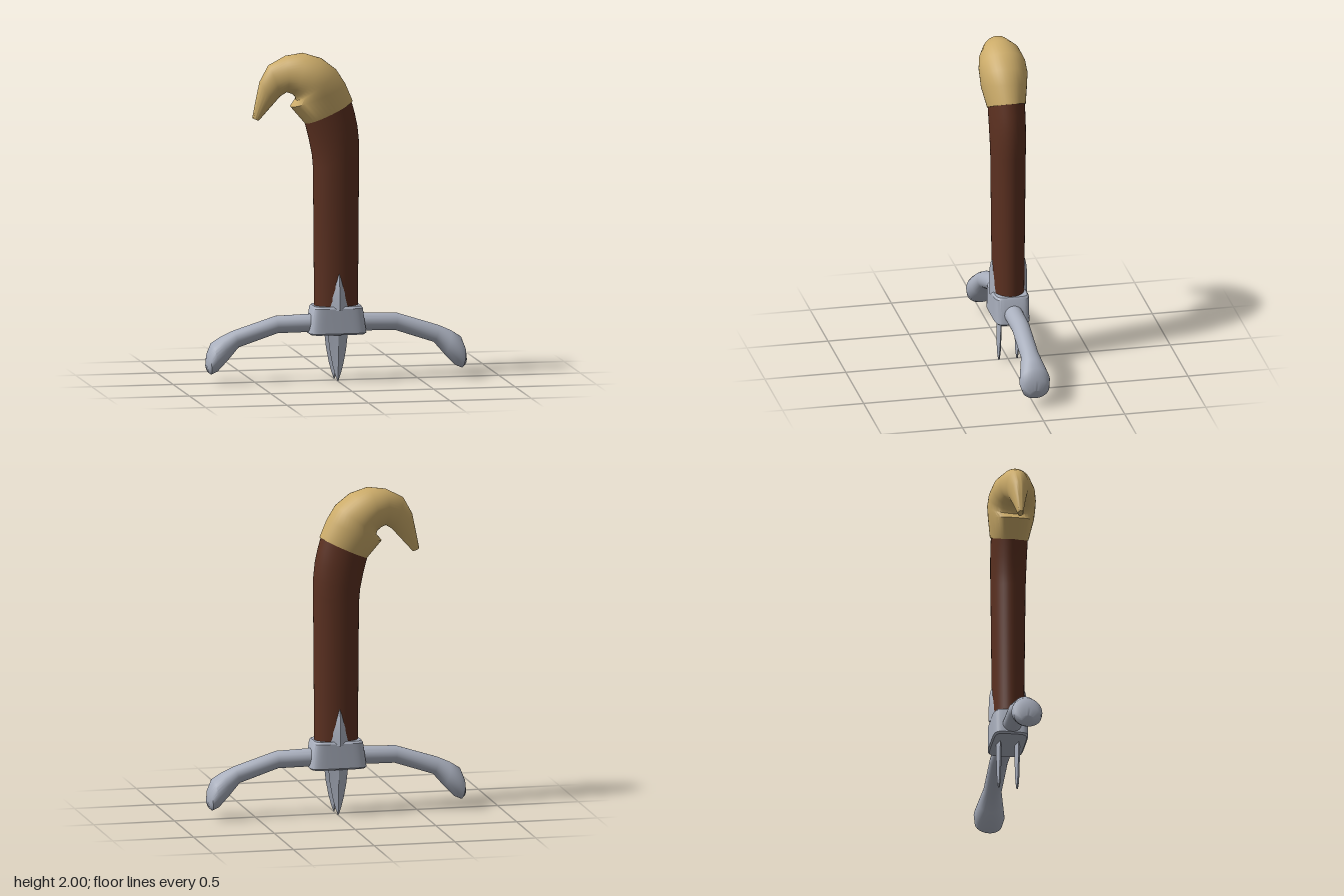
import * as THREE from 'three';
import { toCreasedNormals } from 'three/addons/utils/BufferGeometryUtils.js';

// Skin a row of sections [innerX, innerY, outerX, outerY, halfDepth], capped at both ends.
// power below 1 squares off the rings; zOff shifts the whole row in depth.
function loft(sections, { sides = 32, power = 1, zOff = 0, crease = 0.7 } = {}) {
  const pos = [], idx = [];
  const bend = (v) => Math.sign(v) * Math.pow(Math.abs(v), power);
  for (const [ax, ay, bx, by, d] of sections) {
    for (let j = 0; j < sides; j++) {
      const t = (j / sides) * Math.PI * 2;
      const c = bend(Math.abs(Math.cos(t)) < 1e-9 ? 0 : Math.cos(t));
      const s = bend(Math.abs(Math.sin(t)) < 1e-9 ? 0 : Math.sin(t));
      pos.push((ax + bx) / 2 + (c * (bx - ax)) / 2, (ay + by) / 2 + (c * (by - ay)) / 2, zOff + s * d);
    }
  }
  // Does the row advance along the ring normal (u x z)?
  const [p, q] = sections;
  const adv = [q[0] + q[2] - p[0] - p[2], q[1] + q[3] - p[1] - p[3]];
  const flip = adv[0] * (p[3] - p[1]) - adv[1] * (p[2] - p[0]) < 0;
  const tri = (a, b, c) => (flip ? idx.push(a, c, b) : idx.push(a, b, c));
  const last = (sections.length - 1) * sides;
  for (let r = 0; r < last; r += sides) {
    for (let j = 0; j < sides; j++) {
      const k = (j + 1) % sides;
      tri(r + j, r + k, r + sides + k);
      tri(r + j, r + sides + k, r + sides + j);
    }
  }
  for (let j = 1; j < sides - 1; j++) {
    tri(0, j + 1, j);
    tri(last, last + j, last + j + 1);
  }
  const geo = new THREE.BufferGeometry();
  geo.setAttribute('position', new THREE.Float32BufferAttribute(pos, 3));
  geo.setIndex(idx);
  return toCreasedNormals(geo, crease);
}

// Section lying level at height y
const level = (y, w, d) => [-w, y, w, y, d];

export function createModel() {
  const group = new THREE.Group();
  const material = (name, color) => Object.assign(new THREE.MeshStandardMaterial({ color }), { name });
  const brass = material('brass', 0xcbab69);
  const wood = material('brown grip', 0x5b3020);
  const steel = material('steel', 0xa9afbd);
  const add = (name, geo, mat) => {
    const mesh = new THREE.Mesh(geo, mat);
    mesh.name = name;
    group.add(mesh);
    return mesh;
  };

  // Oval grip, bending over at the top
  add('grip', loft([
    level(0.4, 0.133, 0.095),
    [-0.14, 1.3, 0.14, 1.36, 0.105],
    [-0.147, 1.38, 0.14, 1.45, 0.107],
    [-0.165, 1.47, 0.13, 1.55, 0.109],
    [-0.185, 1.55, 0.113, 1.63, 0.11],
    [-0.2, 1.6, 0.085, 1.73, 0.11],
  ], { sides: 40 }), wood);

  // Hooked beak pommel
  add('pommel', loft([
    [-0.19, 1.57, 0.1, 1.705, 0.115],
    [-0.28, 1.675, 0.055, 1.81, 0.138],
    [-0.245, 1.715, 0, 1.895, 0.145],
    [-0.25, 1.735, -0.09, 1.965, 0.143],
    [-0.27, 1.752, -0.2, 2.0, 0.128],
    [-0.305, 1.765, -0.31, 1.985, 0.096],
    [-0.345, 1.74, -0.415, 1.93, 0.067],
    [-0.385, 1.695, -0.47, 1.83, 0.048],
    [-0.43, 1.645, -0.49, 1.735, 0.032],
    [-0.475, 1.595, -0.515, 1.612, 0.016],
  ], { sides: 40, crease: 0.9 }), brass);

  // Tapered guard block with rounded corners
  add('guardBlock', loft([
    level(0.29, 0.165, 0.098),
    level(0.3, 0.175, 0.107),
    level(0.45, 0.153, 0.107),
    level(0.463, 0.143, 0.098),
  ], { sides: 48, power: 0.35, crease: 0.6 }), steel);

  // Drooping guard arms with spoon ends
  const armGeo = loft([
    [0.05, 0.303, 0.05, 0.415, 0.058],
    [0.36, 0.3, 0.37, 0.405, 0.055],
    [0.6, 0.22, 0.63, 0.322, 0.055],
    [0.665, 0.145, 0.705, 0.288, 0.075],
    [0.73, 0.078, 0.765, 0.25, 0.094],
    [0.77, 0.06, 0.79, 0.185, 0.083],
    [0.785, 0.072, 0.8, 0.12, 0.04],
  ], { crease: 0.8 });
  add('leftGuardArm', armGeo, steel);
  add('rightGuardArm', armGeo, steel).rotation.y = Math.PI;

  // Ridged leaf points above and below the block, front and back
  for (const [side, s] of [['front', 1], ['back', -1]]) {
    add(side + 'UpperPoint', loft([
      level(0.44, 0.062, 0.034),
      level(0.52, 0.051, 0.034),
      level(0.6, 0.033, 0.031),
      level(0.645, 0.018, 0.022),
      level(0.677, 0.002, 0.008),
    ], { sides: 4, zOff: s * 0.084, crease: 0.4 }), steel);
    add(side + 'LowerPoint', loft([
      level(0.3, 0.062, 0.017),
      level(0.2, 0.051, 0.016),
      level(0.11, 0.034, 0.014),
      level(0.05, 0.018, 0.011),
      level(0.005, 0.002, 0.005),
    ], { sides: 4, zOff: s * 0.056, crease: 0.4 }), steel);
  }
  return group;
}
